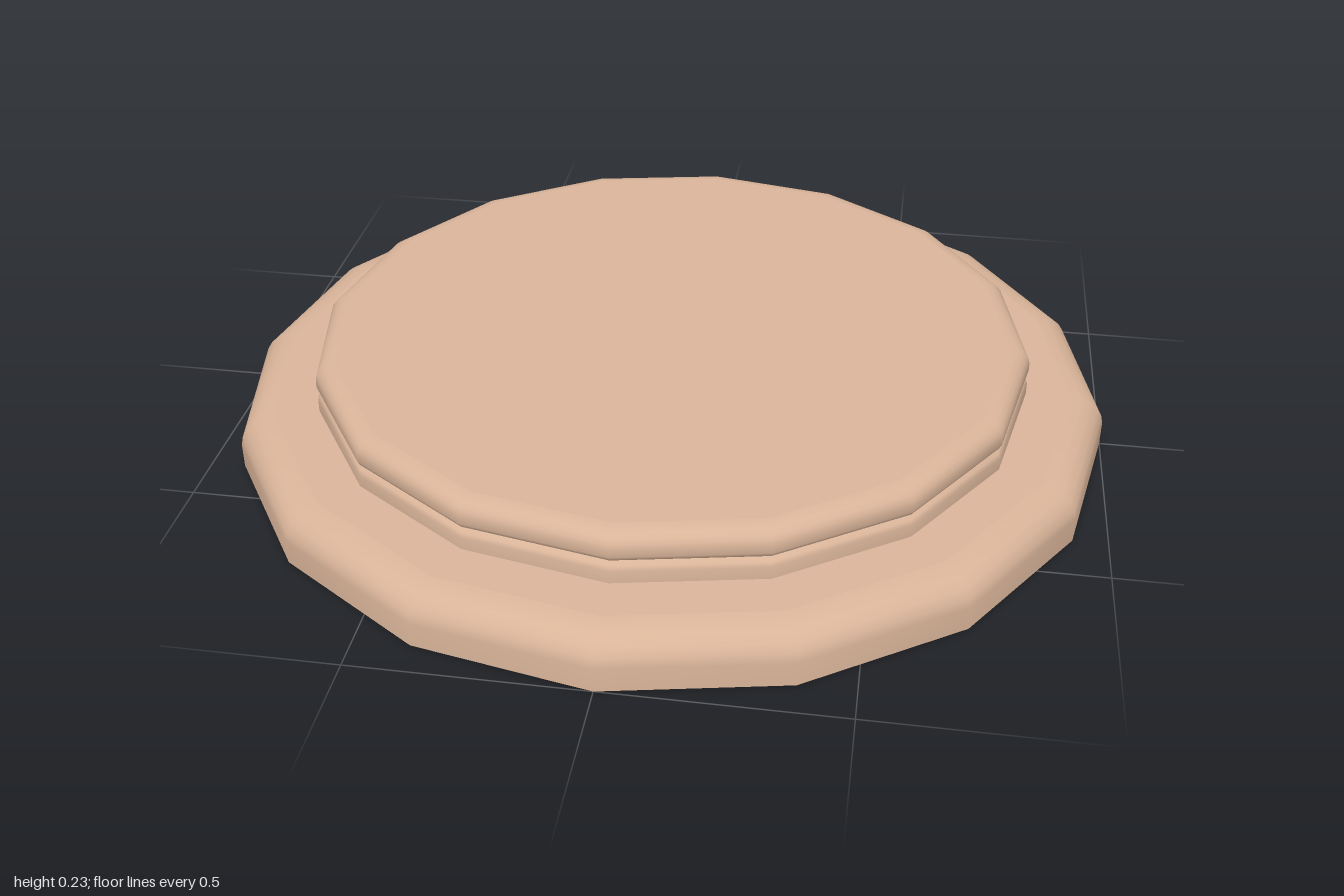
import * as THREE from 'three';

const SIDES = 16;

// Quarter-round edge from the vertical wall (outer radius r) up to the flat top at y
function roundedEdge(r, y, w, h, steps = 5) {
  const points = [];
  for (let i = 0; i <= steps; i++) {
    const a = (i / steps) * Math.PI / 2;
    points.push([r - w + w * Math.cos(a), y - h + h * Math.sin(a)]);
  }
  return points;
}

export function createModel() {
  const group = new THREE.Group();
  group.name = 'roundPlinth';
  const material = new THREE.MeshStandardMaterial({ color: 0xd9b499, side: THREE.DoubleSide });

  // Open shell turned from a profile listed from bottom to top
  function turned(name, profile) {
    const points = profile.map(([r, y]) => new THREE.Vector2(r, y));
    const mesh = new THREE.Mesh(new THREE.LatheGeometry(points, SIDES), material);
    mesh.name = name;
    group.add(mesh);
  }

  // Wide foot with a rounded shoulder, hollow underneath
  turned('foot', [[1, 0], ...roundedEdge(1, 0.12, 0.08, 0.065)]);
  turned('footLedge', [[0.92, 0.12], [0.815, 0.12]]);

  // Short neck with a rounded top running into the groove
  turned('neck', [[0.82, 0.12], [0.82, 0.148], [0.815, 0.158], [0.805, 0.165]]);

  // Raised plate with rounded lower and upper edges
  turned('plateRim', [[0.805, 0.165], [0.815, 0.173], [0.82, 0.183],
    ...roundedEdge(0.82, 0.235, 0.045, 0.035)]);
  turned('plateTop', [[0.775, 0.235], [0, 0.235]]);

  return group;
}
